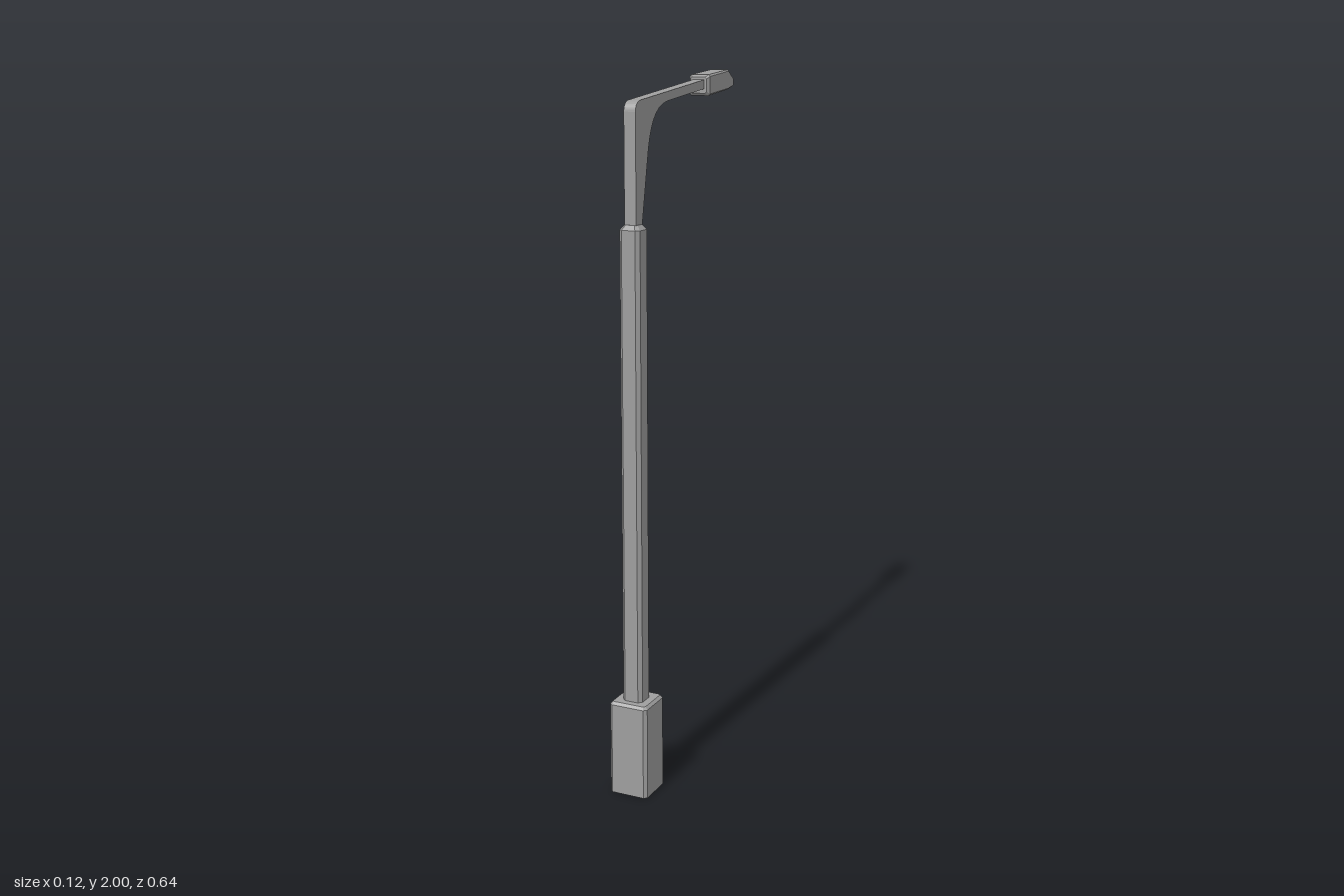
import * as THREE from 'three';

const material = new THREE.MeshStandardMaterial({ color: 0x9e9e9e, flatShading: true });
const BASE_Z = 0.261;
const POST_Z = 0.263;

// Rectangle with chamfered corners, counterclockwise
function chamferedRect(w, h, c) {
  return [
    [w, -h + c], [w, h - c], [w - c, h], [-w + c, h],
    [-w, h - c], [-w, -h + c], [-w + c, -h], [w - c, -h],
  ];
}

// Closed solid through a list of rings of equal point count
function loft(name, rings) {
  const pos = [];
  const tri = (a, b, c) => pos.push(...a, ...b, ...c);
  const n = rings[0].length;
  for (let r = 0; r < rings.length - 1; r++) {
    const a = rings[r], b = rings[r + 1];
    for (let i = 0; i < n; i++) {
      const j = (i + 1) % n;
      tri(a[i], a[j], b[j]);
      tri(a[i], b[j], b[i]);
    }
  }
  const first = rings[0], last = rings[rings.length - 1];
  for (let i = 1; i < n - 1; i++) {
    tri(first[0], first[i + 1], first[i]);
    tri(last[0], last[i], last[i + 1]);
  }
  const geometry = new THREE.BufferGeometry();
  geometry.setAttribute('position', new THREE.Float32BufferAttribute(pos, 3));
  geometry.computeVertexNormals();
  const mesh = new THREE.Mesh(geometry, material);
  mesh.name = name;
  return mesh;
}

// Upright square column; levels are [y, half width, corner chamfer]
function column(name, z, levels) {
  return loft(name, levels.map(([y, w, c]) =>
    chamferedRect(w, w, c).map(([u, v]) => [u, y, z - v])));
}

// Bracket: side profile drawn as (z, y), extruded across x
function buildArm() {
  const s = new THREE.Shape();
  s.moveTo(0.28, 1.59);
  s.lineTo(0.28, 1.905);
  s.quadraticCurveTo(0.279, 1.93, 0.252, 1.934);
  s.lineTo(-0.18, 1.979);
  s.lineTo(-0.18, 1.954);
  s.lineTo(0.09, 1.926);
  s.bezierCurveTo(0.17, 1.916, 0.197, 1.86, 0.211, 1.782);
  s.lineTo(0.248, 1.59);
  s.closePath();
  const width = 0.034;
  const geometry = new THREE.ExtrudeGeometry(s, { depth: width, bevelEnabled: false, curveSegments: 8 });
  geometry.translate(0, 0, -width / 2);
  geometry.rotateY(-Math.PI / 2);
  const mesh = new THREE.Mesh(geometry, material);
  mesh.name = 'arm';
  return mesh;
}

// Lamp head: sections are [z, top y, bottom y, half width, chamfer]
function buildHead() {
  const sections = [
    [-0.143, 1.982, 1.938, 0.025, 0.005],
    [-0.152, 1.989, 1.931, 0.031, 0.005],
    [-0.284, 2.000, 1.944, 0.0295, 0.004],
    [-0.321, 1.974, 1.955, 0.029, 0.001],
  ];
  return loft('lampHead', sections.map(([z, top, bottom, w, c]) =>
    chamferedRect(w, (top - bottom) / 2, c).map(([u, v]) => [-u, (top + bottom) / 2 + v, z])));
}

export function createModel() {
  const group = new THREE.Group();
  group.name = 'streetLamp';
  group.add(
    column('base', BASE_Z, [[0, 0.058, 0.009], [0.267, 0.058, 0.009], [0.275, 0.051, 0.006]]),
    column('post', POST_Z, [[0.26, 0.03, 0.01], [1.6, 0.03, 0.01], [1.613, 0.019, 0.006]]),
    buildArm(),
    buildHead(),
  );
  return group;
}
